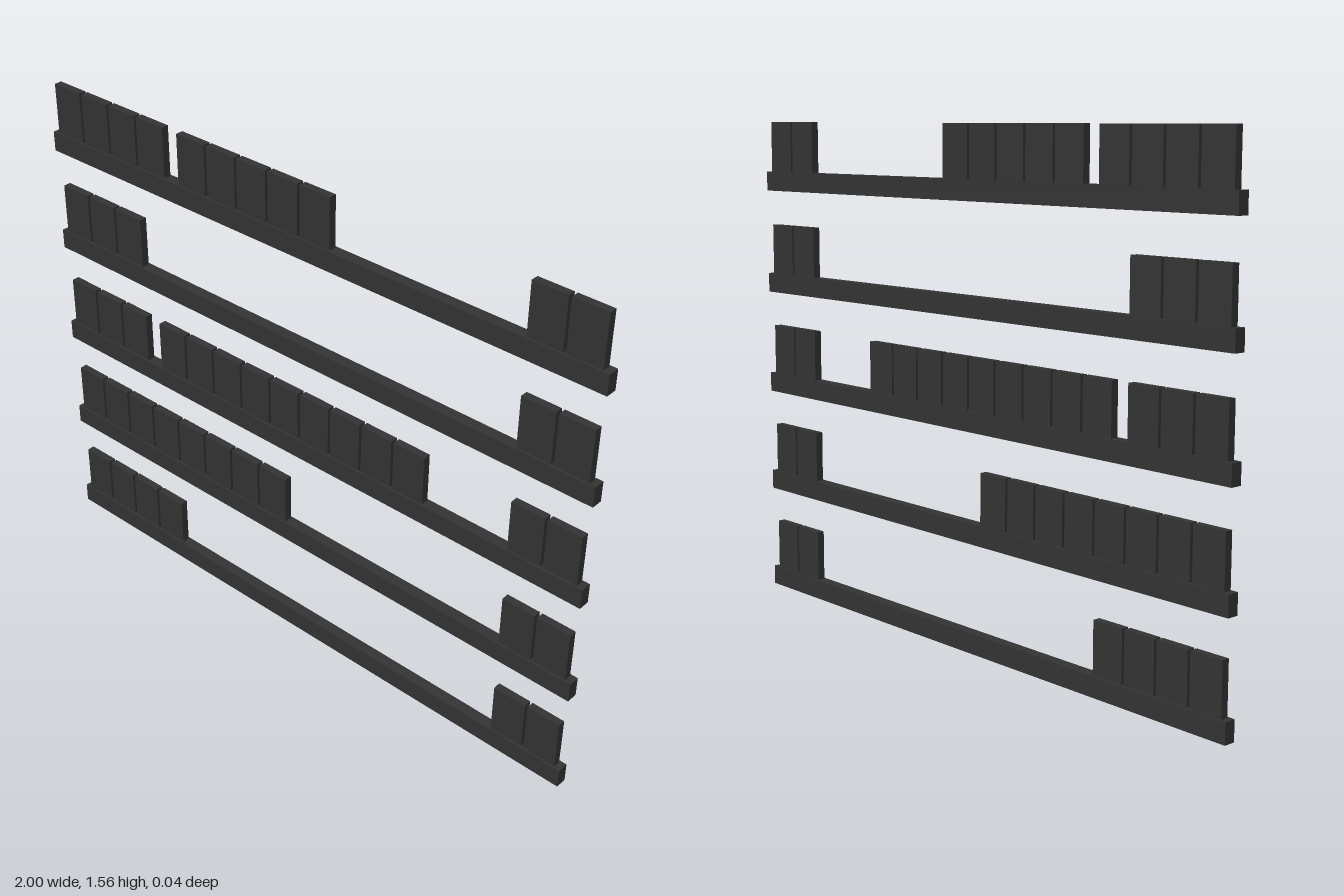
import * as THREE from 'three';

const RAIL_H = 0.062, RAIL_D = 0.036;
const TILE_W = 0.108, TILE_D = 0.024, PITCH = 0.1167;
const ROW_PITCH = 0.335;

// Each row, bottom to top: groups of tiles as [left edge x, count]
const ROWS = [
  [[-0.981, 4]],
  [[-0.981, 8]],
  [[-0.981, 3], [-0.58, 9]],
  [[-0.981, 3]],
  [[-0.981, 4], [-0.465, 5]],
];

export function createModel() {
  const model = new THREE.Group();
  model.name = 'tileRack';
  const material = new THREE.MeshStandardMaterial({ color: 0x333333 });

  const addBox = (parent, name, w, h, d, x, bottom) => {
    const mesh = new THREE.Mesh(new THREE.BoxGeometry(w, h, d), material);
    mesh.name = name;
    mesh.position.set(x, bottom + h / 2, 0);
    parent.add(mesh);
  };

  // Row of upright tiles standing on the rail
  const addTiles = (parent, name, left, count, top) => {
    const group = new THREE.Group();
    group.name = name;
    for (let i = 0; i < count; i++) {
      addBox(group, 'tile', TILE_W, top - RAIL_H, TILE_D, left + TILE_W / 2 + i * PITCH, RAIL_H);
    }
    parent.add(group);
  };

  ROWS.forEach((groups, r) => {
    const row = new THREE.Group();
    row.name = 'row';
    row.position.y = r * ROW_PITCH;
    addBox(row, 'rail', 2, RAIL_H, RAIL_D, 0, 0);
    for (const [left, count] of groups) addTiles(row, 'mainTiles', left, count, 0.22);
    // Pair of tiles at the far end of every rail
    addTiles(row, 'endTiles', 0.754, 2, 0.223);
    model.add(row);
  });

  return model;
}
